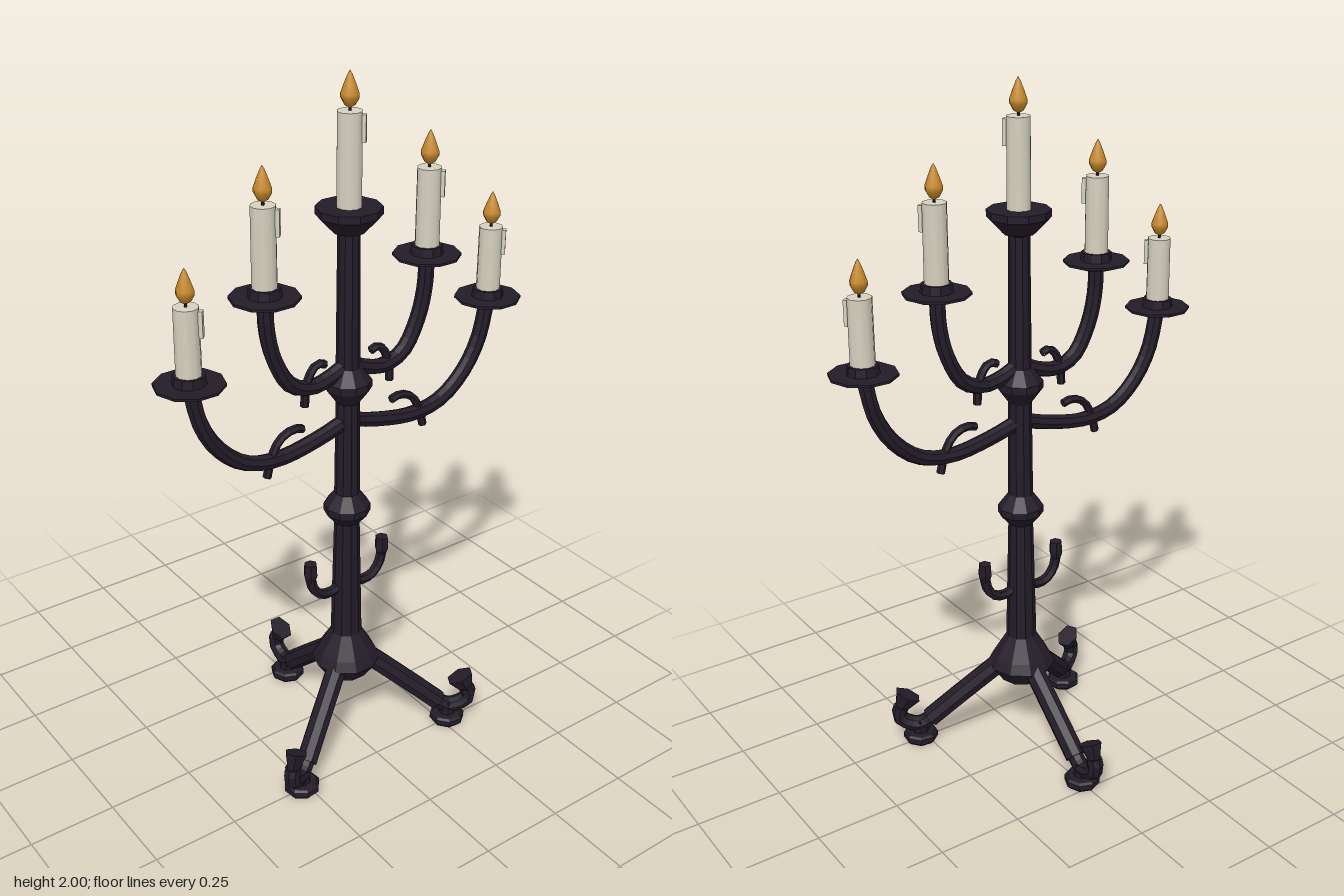
import * as THREE from 'three';

const iron = new THREE.MeshStandardMaterial({ color: 0x231c28, flatShading: true });
const wax = new THREE.MeshStandardMaterial({ color: 0xd6d1c0 });
const fire = new THREE.MeshStandardMaterial({ color: 0xc8892a });

function add(parent, name, geometry, material, x = 0, y = 0, z = 0) {
  const mesh = new THREE.Mesh(geometry, material);
  mesh.name = name;
  mesh.position.set(x, y, z);
  parent.add(mesh);
  return mesh;
}

// Turned part from [radius, height] pairs, with a corner on the x axis
function turned(profile, sides) {
  const g = new THREE.LatheGeometry(profile.map(([r, y]) => new THREE.Vector2(r, y)), sides);
  return g.rotateY(Math.PI / 2);
}

// Bent bar through [x, y] points, closed at both ends
function bar(parent, name, points, radius, steps = 14, sides = 8) {
  const curve = new THREE.CatmullRomCurve3(points.map(([x, y]) => new THREE.Vector3(x, y, 0)));
  const mesh = add(parent, name, new THREE.TubeGeometry(curve, steps, radius, sides), iron);
  for (const t of [0, 1]) {
    const cap = add(mesh, name + 'End', new THREE.CircleGeometry(radius, sides), iron);
    const p = curve.getPointAt(t);
    cap.position.copy(p);
    const dir = curve.getTangentAt(t).multiplyScalar(t ? 1 : -1);
    cap.quaternion.setFromUnitVectors(new THREE.Vector3(0, 0, 1), dir);
  }
  return mesh;
}

// Candle with wick, flame and a run of wax near the rim
function candle(parent, x, bottom, top) {
  const g = new THREE.Group();
  g.name = 'candle';
  g.position.set(x, 0, 0);
  parent.add(g);
  add(g, 'waxBody', new THREE.CylinderGeometry(0.033, 0.034, top - bottom, 10), wax, 0, (top + bottom) / 2);
  const drip = add(g, 'waxDrip', new THREE.BoxGeometry(0.016, 0.07, 0.016), wax, 0.024, top - 0.043, 0.024);
  drip.rotation.y = Math.PI / 4;
  add(g, 'wick', new THREE.CylinderGeometry(0.004, 0.004, 0.02, 5), iron, 0, top + 0.008);
  const flame = [[0, 0.006], [0.014, 0.014], [0.024, 0.032], [0.024, 0.043], [0.015, 0.068], [0.006, 0.09], [0, 0.1]];
  add(g, 'flame', turned(flame, 8), fire, 0, top);
}

// Drip dish with a small socket
function dish(parent, x, y) {
  const profile = [[0, 0], [0.05, 0], [0.093, 0.014], [0.093, 0.021], [0.045, 0.021], [0.042, 0.045], [0, 0.045]];
  add(parent, 'dripDish', turned(profile, 10).rotateY(0), iron, x, y);
}

export function createModel() {
  const model = new THREE.Group();
  const body = new THREE.Group();
  body.name = 'candelabrum';
  body.position.z = 0.093;
  model.add(body);

  // Stem with base hub, two knobs and the top cup
  add(body, 'stem', turned([
    [0, 0.215], [0.065, 0.215], [0.1, 0.265], [0.085, 0.295], [0.045, 0.36],
    [0.036, 0.73], [0.045, 0.74], [0.066, 0.765], [0.066, 0.785], [0.036, 0.825],
    [0.033, 1.105], [0.066, 1.15], [0.066, 1.17], [0.033, 1.21],
    [0.03, 1.585], [0.045, 1.59], [0.088, 1.635], [0.088, 1.655], [0, 1.655],
  ], 10), iron);
  candle(body, 0, 1.65, 1.9);

  for (const s of [1, -1]) {
    const mir = (pts) => pts.map(([x, y]) => [s * x, y]);

    // Outer arm
    bar(body, 'outerArm', mir([[0, 1.05], [0.1, 1.02], [0.23, 1.0], [0.33, 1.02], [0.41, 1.085], [0.46, 1.17], [0.487, 1.285]]), 0.022, 18);
    bar(body, 'outerCurl', mir([[0.265, 0.955], [0.25, 1.01], [0.222, 1.055], [0.18, 1.073], [0.148, 1.066]]), 0.012, 8, 6);
    dish(body, s * 0.487, 1.275);
    candle(body, s * 0.487, 1.3, 1.5);

    // Inner arm
    bar(body, 'innerArm', mir([[0, 1.22], [0.05, 1.195], [0.12, 1.18], [0.185, 1.205], [0.235, 1.29], [0.257, 1.38], [0.26, 1.46]]), 0.022, 16);
    bar(body, 'innerCurl', mir([[0.142, 1.13], [0.137, 1.185], [0.12, 1.225], [0.1, 1.242], [0.075, 1.235]]), 0.012, 8, 6);
    dish(body, s * 0.26, 1.452);
    candle(body, s * 0.26, 1.465, 1.71);

    // Hook on the lower stem
    bar(body, 'hook', mir([[0.02, 0.525], [0.05, 0.51], [0.09, 0.515], [0.117, 0.545], [0.128, 0.59]]), 0.015, 8, 6);
    add(body, 'hookTip', turned([[0, 0.57], [0.013, 0.57], [0.021, 0.595], [0.019, 0.63], [0, 0.63]], 6), iron, s * 0.126);
  }

  // Three legs ending in upturned claws on round pads
  for (let i = 0; i < 3; i++) {
    const leg = new THREE.Group();
    leg.name = 'leg';
    leg.rotation.y = Math.PI / 2 + i * Math.PI * 2 / 3;
    body.add(leg);
    bar(leg, 'legBar', [[0.03, 0.29], [0.16, 0.18], [0.28, 0.075]], 0.031, 3);
    bar(leg, 'claw', [[0.26, 0.092], [0.31, 0.056], [0.35, 0.062], [0.376, 0.085], [0.368, 0.12]], 0.024, 8);
    const tip = add(leg, 'clawTip', new THREE.CylinderGeometry(0.043, 0.017, 0.06, 6), iron, 0.36, 0.132);
    tip.rotation.z = 0.45;
    tip.scale.z = 0.75;
    const pad = [[0, 0], [0.045, 0], [0.052, 0.008], [0.052, 0.024], [0.045, 0.03], [0.025, 0.031], [0.022, 0.07], [0, 0.07]];
    add(leg, 'footPad', turned(pad, 8), iron, 0.312);
  }
  return model;
}
